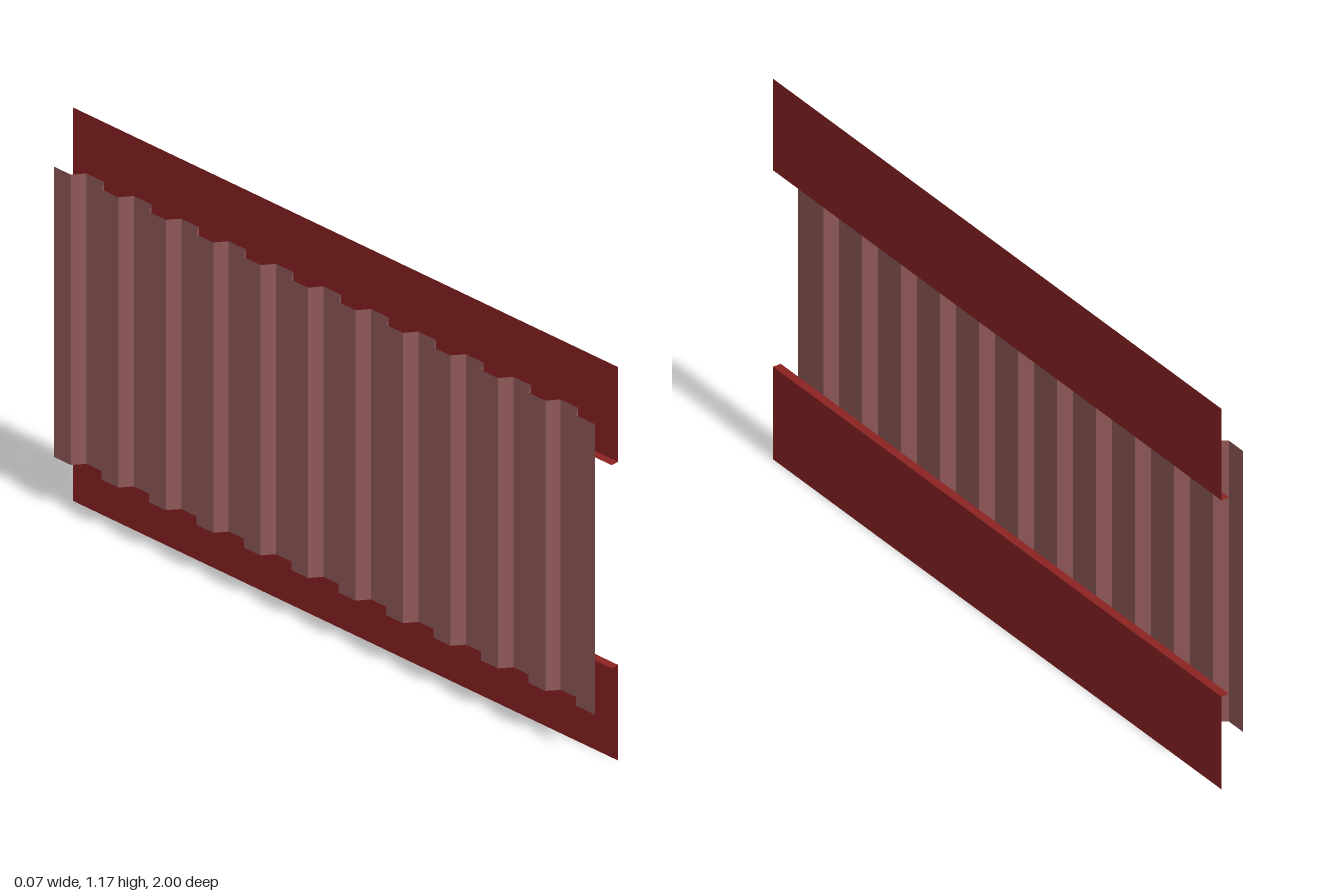
import * as THREE from 'three';

// Open sheet: an x/z or x/y polyline swept straight between two values of the remaining axis
function sheet(points, place, a, b, material, name) {
  const pos = [];
  for (let i = 0; i < points.length - 1; i++) {
    const p = points[i], q = points[i + 1];
    const c = [place(p, a), place(q, a), place(q, b), place(p, b)];
    for (const k of [0, 1, 2, 0, 2, 3]) pos.push(...c[k]);
  }
  const geo = new THREE.BufferGeometry();
  geo.setAttribute('position', new THREE.Float32BufferAttribute(pos, 3));
  geo.computeVertexNormals();
  const mesh = new THREE.Mesh(geo, material);
  mesh.name = name;
  return mesh;
}

export function createModel() {
  const group = new THREE.Group();
  group.name = 'corrugatedFence';
  const red = new THREE.MeshStandardMaterial({ color: 0x8c2222, side: THREE.DoubleSide });
  red.name = 'red rail';
  const rust = new THREE.MeshStandardMaterial({ color: 0x925a5a, side: THREE.DoubleSide });
  rust.name = 'dusty red sheet';

  // Corrugated panel: trapezoid ribs repeating along z
  const ribs = [], pitch = 0.1735, back = -0.033, front = 0;
  const zStart = 0.98, zEnd = -1;
  ribs.push([back, zStart]);
  for (let z = 0.91; z > zEnd; z -= pitch) {
    for (const [x, dz] of [[back, 0], [front, 0.024], [front, 0.088], [back, 0.112]]) {
      if (z - dz > zEnd) ribs.push([x, z - dz]);
    }
  }
  ribs.push([back, zEnd]);
  group.add(sheet(ribs, ([x, z], y) => [x, y, z], 0.155, 1.02, rust, 'corrugatedPanel'));

  // Rails: tall face plate with a narrow lip folded towards the panel
  const face = 0.033, lip = 0.008;
  const alongZ = ([x, y], z) => [x, y, z];
  group.add(sheet([[face, 0], [face, 0.285], [lip, 0.285]], alongZ, 1, -0.995, red, 'bottomRail'));
  group.add(sheet([[face, 1.172], [face, 0.89], [lip, 0.89]], alongZ, 1, -0.995, red, 'topRail'));
  return group;
}
